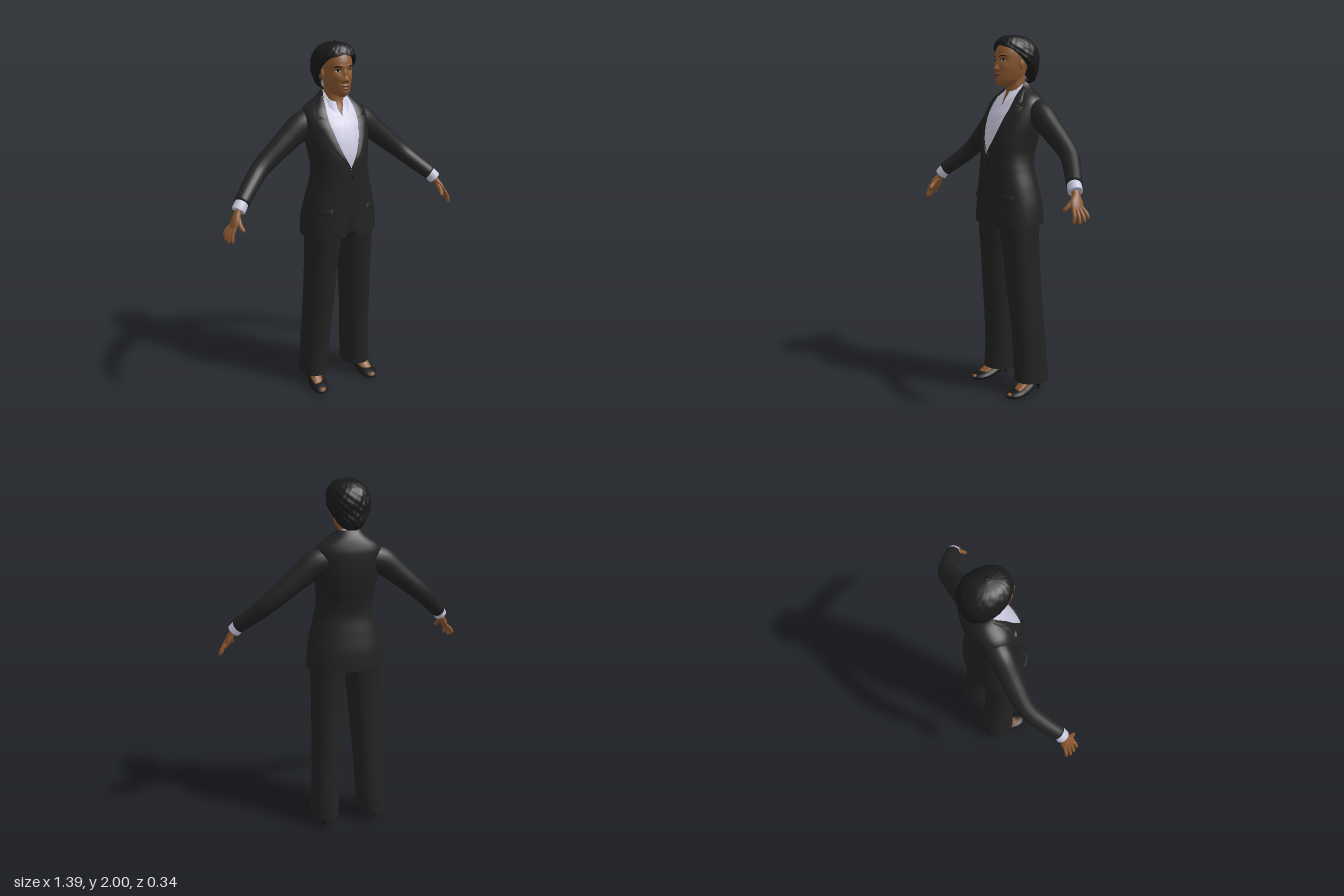
import * as THREE from 'three';
import { mergeVertices } from 'three/addons/utils/BufferGeometryUtils.js';

const TAU = Math.PI * 2;
const mat = (name, color, double) => {
  const m = new THREE.MeshStandardMaterial({ color });
  m.name = name;
  if (double) m.side = THREE.DoubleSide;
  return m;
};

// Catmull-Rom blend of four number rows
const blend = (a, b, c, d, t) => b.map((v, k) => 0.5 * (2 * v + (c[k] - a[k]) * t
  + (2 * a[k] - 5 * v + 4 * c[k] - d[k]) * t * t + (3 * v - a[k] - 3 * c[k] + d[k]) * t ** 3));
const segment = (rows, i, t) => blend(rows[Math.max(i - 1, 0)], rows[i], rows[i + 1], rows[Math.min(i + 2, rows.length - 1)], t);

// Row of a table (sorted by its first number) at height y
function at(rows, y) {
  y = Math.min(Math.max(y, rows[0][0]), rows[rows.length - 1][0]);
  let i = 0;
  while (i < rows.length - 2 && rows[i + 1][0] < y) i++;
  const r = segment(rows, i, (y - rows[i][0]) / (rows[i + 1][0] - rows[i][0]));
  r[0] = y;
  return r;
}

// Smooth surface through rows of points
function grid(rows) {
  const n = rows[0].length, index = [];
  for (let i = 0; i < rows.length - 1; i++) for (let j = 0; j < n - 1; j++) {
    const a = i * n + j, d = a + n;
    index.push(a, a + 1, d + 1, a, d + 1, d);
  }
  let g = new THREE.BufferGeometry();
  g.setAttribute('position', new THREE.Float32BufferAttribute(rows.flat(2), 3));
  g.setIndex(index);
  g = mergeVertices(g, 1e-5);
  g.computeVertexNormals();
  return g;
}

// Point on a horizontal section [y, halfWidth, zFront, zBack, centreX]
const pw = (v, p) => Math.sign(v) * Math.abs(v) ** p;
const onRing = (r, th, off = 0, p = 0.9) => [
  (r[4] || 0) + (r[1] + off) * pw(Math.sin(th), p), r[0],
  (r[2] + r[3]) / 2 + ((r[2] - r[3]) / 2 + off) * pw(Math.cos(th), p)];
const angleAt = (r, x, p = 0.9) => Math.asin(Math.min(0.985, Math.abs(x) / Math.max(r[1], 1e-4)) ** (1 / p)) * Math.sign(x);

// Stack of sections, optionally open at the front by an angle
function loft(rows, { lo = rows[0][0], hi = rows[rows.length - 1][0], n = 40, cols = 48, off = 0, open = () => 0, tweak = q => q } = {}) {
  return grid(Array.from({ length: n + 1 }, (_, i) => {
    const r = at(rows, lo + (hi - lo) * i / n), o = open(r);
    return Array.from({ length: cols + 1 }, (_, j) => {
      const th = o + (TAU - 2 * o) * j / cols;
      return tweak(onRing(r, th, off), th, o > 0.05 && (j === 0 || j === cols));
    });
  }));
}

// Closed limb along points [x, y, z, radiusAlongRef, otherRadius]
function limb(pts, ref, n = 6, cols = 20) {
  const s = [];
  for (let i = 0; i < pts.length - 1; i++) for (let k = 0; k < n; k++) s.push(segment(pts, i, k / n));
  s.push(pts[pts.length - 1]);
  const P = s.map(r => new THREE.Vector3(r[0], r[1], r[2]));
  const rows = s.map((r, i) => {
    const t = P[Math.min(i + 1, P.length - 1)].clone().sub(P[Math.max(i - 1, 0)]).normalize();
    const u = ref.clone().addScaledVector(t, -ref.dot(t)).normalize(), v = t.clone().cross(u);
    return Array.from({ length: cols + 1 }, (_, j) => P[i].clone()
      .addScaledVector(u, r[3] * Math.cos(TAU * j / cols)).addScaledVector(v, r[4] * Math.sin(TAU * j / cols)).toArray());
  });
  const cap = p => Array(cols + 1).fill(p.toArray());
  return grid([cap(P[0]), ...rows, cap(P[P.length - 1])]);
}

function mirrored(geo) {
  const g = geo.clone().scale(-1, 1, 1), ix = g.index.array;
  for (let i = 0; i < ix.length; i += 3) [ix[i], ix[i + 1]] = [ix[i + 1], ix[i]];
  return g;
}

// Thin oval lying on a front surface z = surf(x, y)
const patch = (surf, cx, cy, a, b, off, bend = 0) => grid([1, 0.66, 0.33, 0].map(k => Array.from({ length: 21 }, (_, j) => {
  const dx = a * k * Math.cos(TAU * j / 20), x = cx + dx, y = cy + b * k * Math.sin(TAU * j / 20) - bend * (dx / a) ** 2;
  return [x, y, surf(x, y) + off];
})));

const TORSO = [[0.975, 0.222, 0.165, -0.155], [1.08, 0.214, 0.16, -0.148], [1.18, 0.194, 0.157, -0.13], [1.28, 0.168, 0.155, -0.113],
  [1.35, 0.158, 0.155, -0.12], [1.42, 0.165, 0.15, -0.138], [1.5, 0.178, 0.128, -0.152], [1.57, 0.184, 0.098, -0.157],
  [1.63, 0.184, 0.06, -0.156], [1.665, 0.16, 0.035, -0.148], [1.695, 0.115, 0.012, -0.138], [1.72, 0.08, -0.008, -0.126], [1.74, 0.066, -0.025, -0.114]];
const JACKET_GAP = [[0.975, 0.035], [1.08, 0.016], [1.17, 0], [1.35, 0], [1.45, 0.045], [1.55, 0.075], [1.62, 0.086], [1.7, 0.076], [1.74, 0.06]];
const SHIRT_GAP = [[1.3, 0], [1.62, 0], [1.68, 0.03], [1.735, 0.045]];
const LAPEL = [[1.36, 0], [1.46, 0.034], [1.55, 0.054], [1.61, 0.066], [1.618, 0.036], [1.63, 0.05], [1.66, 0.045], [1.72, 0.01]];
const HEAD = [[1.722, 0.012, 0.07, 0.02], [1.735, 0.036, 0.084, -0.03], [1.755, 0.051, 0.089, -0.07], [1.79, 0.063, 0.088, -0.09], [1.82, 0.07, 0.087, -0.1],
  [1.86, 0.076, 0.084, -0.12], [1.9, 0.077, 0.082, -0.13], [1.94, 0.068, 0.066, -0.12], [1.965, 0.048, 0.04, -0.1], [1.98, 0.01, 0, -0.05]];
const HAIR = [[1.742, 0.03, -0.085, -0.14], [1.76, 0.06, -0.04, -0.158], [1.79, 0.083, 0, -0.166], [1.83, 0.103, 0.028, -0.167], [1.875, 0.113, 0.06, -0.172],
  [1.92, 0.109, 0.081, -0.165], [1.95, 0.095, 0.078, -0.148], [1.975, 0.073, 0.06, -0.118], [1.99, 0.046, 0.034, -0.085], [1.998, 0.006, -0.02, -0.035]];
const HAIRLINE = [[1.74, 1.95], [1.8, 1.75], [1.85, 1.42], [1.89, 1.02], [1.92, 0.62], [1.94, 0], [2, 0]];
const LEG = [[0.07, 0.0815, 0.062, -0.147, 0.1435], [0.2, 0.0815, 0.06, -0.14, 0.1365], [0.4, 0.0825, 0.07, -0.122, 0.1275], [0.6, 0.0865, 0.09, -0.11, 0.1165],
  [0.8, 0.0925, 0.105, -0.1, 0.1075], [0.95, 0.1, 0.12, -0.1, 0.1], [1.05, 0.1, 0.125, -0.11, 0.1]];

// Face bumps: x, y, spread x, spread y, depth
const BUMPS = [[0, 1.815, 0.013, 0.013, 0.02], [0, 1.845, 0.009, 0.022, 0.009], [0, 1.783, 0.019, 0.006, 0.008], [0, 1.768, 0.017, 0.006, 0.008],
  [0, 1.75, 0.018, 0.011, 0.005], ...[-1, 1].flatMap(s => [[s * 0.014, 1.809, 0.008, 0.007, 0.008], [s * 0.034, 1.857, 0.016, 0.011, -0.008],
    [s * 0.032, 1.88, 0.022, 0.008, 0.004], [s * 0.042, 1.825, 0.018, 0.016, 0.004]])];
const relief = (x, y) => BUMPS.reduce((z, [bx, by, sx, sy, d]) => z + d * Math.exp(-(((x - bx) / sx) ** 2) - ((y - by) / sy) ** 2), 0);
const surface = (rows, extra = () => 0) => (x, y) => {
  const r = at(rows, y);
  return onRing(r, angleAt(r, x))[2] + extra(x, y);
};

export function createModel() {
  const model = new THREE.Group();
  const suit = mat('charcoal suit', 0x222222, true), shirt = mat('pale lilac shirt', 0xc6c6dc, true), skin = mat('brown skin', 0x88562f);
  const hairMat = mat('black hair', 0x191919, true), shoeMat = mat('black shoe', 0x161616), lipMat = mat('lip', 0x6e3b2a);
  const eyeWhite = mat('eye white', 0xb9aca2), dark = mat('dark detail', 0x15100e);
  const add = (name, geo, m) => {
    const mesh = new THREE.Mesh(geo, m);
    mesh.name = name;
    model.add(mesh);
  };
  const pair = (name, geo, m) => {
    add(name + 'Left', geo, m);
    add(name + 'Right', mirrored(geo), m);
  };
  const Y = new THREE.Vector3(0, 1, 0), Z = new THREE.Vector3(0, 0, 1);
  const gap = table => r => angleAt(r, Math.max(0, at(table, r[0])[1]));

  // Jacket, shirt and their details
  add('jacket', loft(TORSO, { n: 80, cols: 64, open: gap(JACKET_GAP) }), suit);
  add('shirt', loft(TORSO, { lo: 1.3, hi: 1.735, n: 40, off: -0.009, open: gap(SHIRT_GAP) }), shirt);
  pair('lapel', grid(Array.from({ length: 61 }, (_, i) => {
    const r = at(TORSO, 1.36 + 0.36 * i / 60), x0 = Math.max(0, at(JACKET_GAP, r[0])[1]), w = Math.max(0, at(LAPEL, r[0])[1]);
    return [[0, 0.002], [0.3, 0.008], [0.65, 0.009], [0.97, 0.008], [1, -0.003]].map(([k, off]) => onRing(r, angleAt(r, x0 + w * k), off));
  })), suit);
  pair('pocketFlap', grid([1.115, 1.117, 1.143, 1.145].map((y, i) => Array.from({ length: 9 }, (_, j) => {
    const r = at(TORSO, y - j * 0.001);
    return onRing(r, angleAt(r, 0.1 + j * 0.009), i % 3 && j % 8 ? 0.006 : -0.002);
  }))), suit);
  add('jacketButton', patch(surface(TORSO), 0.006, 1.31, 0.009, 0.009, 0.004), dark);
  for (const y of [1.58, 1.53, 1.48, 1.43]) add('shirtButton', patch(surface(TORSO), 0, y, 0.004, 0.004, -0.006), eyeWhite);
  add('shirtCollar', grid([0, 0.5, 1].map(k => Array.from({ length: 49 }, (_, j) => {
    const th = 0.33 + (TAU - 0.66) * j / 48, f = (1 + Math.cos(th)) / 2, b = 1 - k;
    return [(0.06 + 0.014 * b) * Math.sin(th), 1.75 - 0.058 * f - b * (0.03 + 0.034 * f ** 6),
      -0.04 + (0.062 + 0.012 * b) * Math.cos(th) + b * 0.036 * f ** 3];
  }))), shirt);

  // Sleeves and cuffs
  pair('sleeve', limb([[0.1, 1.582, -0.06, 0.068, 0.074], [0.18, 1.567, -0.062, 0.065, 0.075], [0.28, 1.492, -0.06, 0.059, 0.063], [0.42, 1.378, -0.05, 0.051, 0.051],
    [0.5, 1.307, -0.006, 0.046, 0.046], [0.585, 1.232, 0.058, 0.041, 0.041]], Z), suit);
  pair('cuff', limb([[0.57, 1.246, 0.047, 0.034, 0.034], [0.588, 1.226, 0.06, 0.036, 0.036], [0.609, 1.2, 0.072, 0.037, 0.037]], Z), shirt);

  // Hands
  pair('palm', limb([[0.595, 1.217, 0.064, 0.02, 0.018], [0.617, 1.185, 0.076, 0.023, 0.018], [0.635, 1.155, 0.088, 0.037, 0.017],
    [0.65, 1.125, 0.096, 0.037, 0.014], [0.656, 1.112, 0.099, 0.03, 0.009]], Z), skin);
  const tips = [[0.69, 1.078, 0.06], [0.692, 1.062, 0.087], [0.685, 1.053, 0.114], [0.67, 1.058, 0.14]];
  const finger = (a, b, r) => {
    const p = k => a.map((v, i) => v + (b[i] - v) * k + (i === 0 ? 0.007 * Math.sin(k * Math.PI) : 0));
    return limb([[...p(0), r, r], [...p(0.5), r, r], [...p(0.88), r * 0.85, r * 0.85], [...p(1), r * 0.35, r * 0.35]], Z, 4, 10);
  };
  tips.forEach((t, i) => pair('finger' + (i + 1), finger([0.651, 1.13, 0.069 + i * 0.0185], t, 0.0095), skin));
  pair('thumb', finger([0.617, 1.172, 0.09], [0.61, 1.112, 0.152], 0.012), skin);

  // Trousers
  add('trouserSeat', loft([[0.925, 0.03, 0.05, -0.03], [0.96, 0.15, 0.115, -0.095], [1.02, 0.192, 0.13, -0.118], [1.15, 0.175, 0.135, -0.11]], { n: 16 }), suit);
  pair('trouserLeg', loft(LEG, {
    n: 30, cols: 40,
    tweak: ([x, y, z]) => [x, y + 0.09 * z * Math.max(0, 1 - (y - 0.07) / 0.1), z],
  }), suit);

  // Feet and heeled shoes
  pair('foot', limb([[0.155, 0.17, -0.05, 0.032, 0.032], [0.156, 0.11, -0.035, 0.036, 0.033], [0.162, 0.062, 0.025, 0.026, 0.034], [0.167, 0.034, 0.085, 0.012, 0.03]], Z), skin);
  pair('shoe', limb([[0.155, 0.076, -0.107, 0.013, 0.018], [0.155, 0.07, -0.08, 0.025, 0.031], [0.158, 0.05, -0.03, 0.027, 0.036], [0.163, 0.03, 0.03, 0.028, 0.046],
    [0.168, 0.024, 0.085, 0.023, 0.05], [0.17, 0.019, 0.125, 0.017, 0.036], [0.17, 0.014, 0.145, 0.007, 0.014]], Y), shoeMat);
  pair('heel', new THREE.CylinderGeometry(0.014, 0.006, 0.065, 12).translate(0.155, 0.0325, -0.088), shoeMat);
  pair('toes', new THREE.SphereGeometry(1, 14, 10).scale(0.018, 0.01, 0.014).translate(0.17, 0.027, 0.132), skin);

  // Neck and head
  add('neck', loft([[1.57, 0.07, 0.055, -0.11], [1.64, 0.061, 0.034, -0.1], [1.69, 0.052, 0.012, -0.092], [1.74, 0.05, 0.01, -0.09], [1.8, 0.05, 0.01, -0.09]], { n: 16 }), skin);
  add('head', loft(HEAD, { n: 90, cols: 120, tweak: ([x, y, z]) => [x, y, z > 0 ? z + relief(x, y) : z] }), skin);
  pair('ear', new THREE.SphereGeometry(1, 14, 12).scale(0.01, 0.027, 0.016).rotateY(0.3).translate(0.077, 1.835, -0.022), skin);

  // Face details
  const face = surface(HEAD, relief);
  add('upperLip', patch(face, 0, 1.783, 0.023, 0.005, 0.0012, 0.004), lipMat);
  add('lowerLip', patch(face, 0, 1.77, 0.02, 0.006, 0.0012, -0.004), lipMat);
  pair('eye', patch(face, 0.035, 1.857, 0.0125, 0.005, 0.0015), eyeWhite);
  pair('iris', patch(face, 0.035, 1.857, 0.005, 0.005, 0.0025), dark);
  pair('eyelash', patch(face, 0.035, 1.8635, 0.0145, 0.0018, 0.003, 0.004), dark);
  pair('eyebrow', patch(face, 0.036, 1.881, 0.019, 0.003, 0.0018, 0.004), dark);

  // Short curled hair
  add('hair', loft(HAIR, {
    n: 60, cols: 100, open: r => Math.max(0, at(HAIRLINE, r[0])[1]),
    tweak: ([x, y, z], th, edge) => {
      const k = edge ? 0.72 : 1 + 0.018 * Math.sin(11 * th + 40 * y) * Math.sin(120 * y + 3 * th) + 0.008 * Math.sin(23 * th - 90 * y);
      return [x * k, y, -0.045 + (z + 0.045) * k];
    },
  }), hairMat);
  return model;
}
